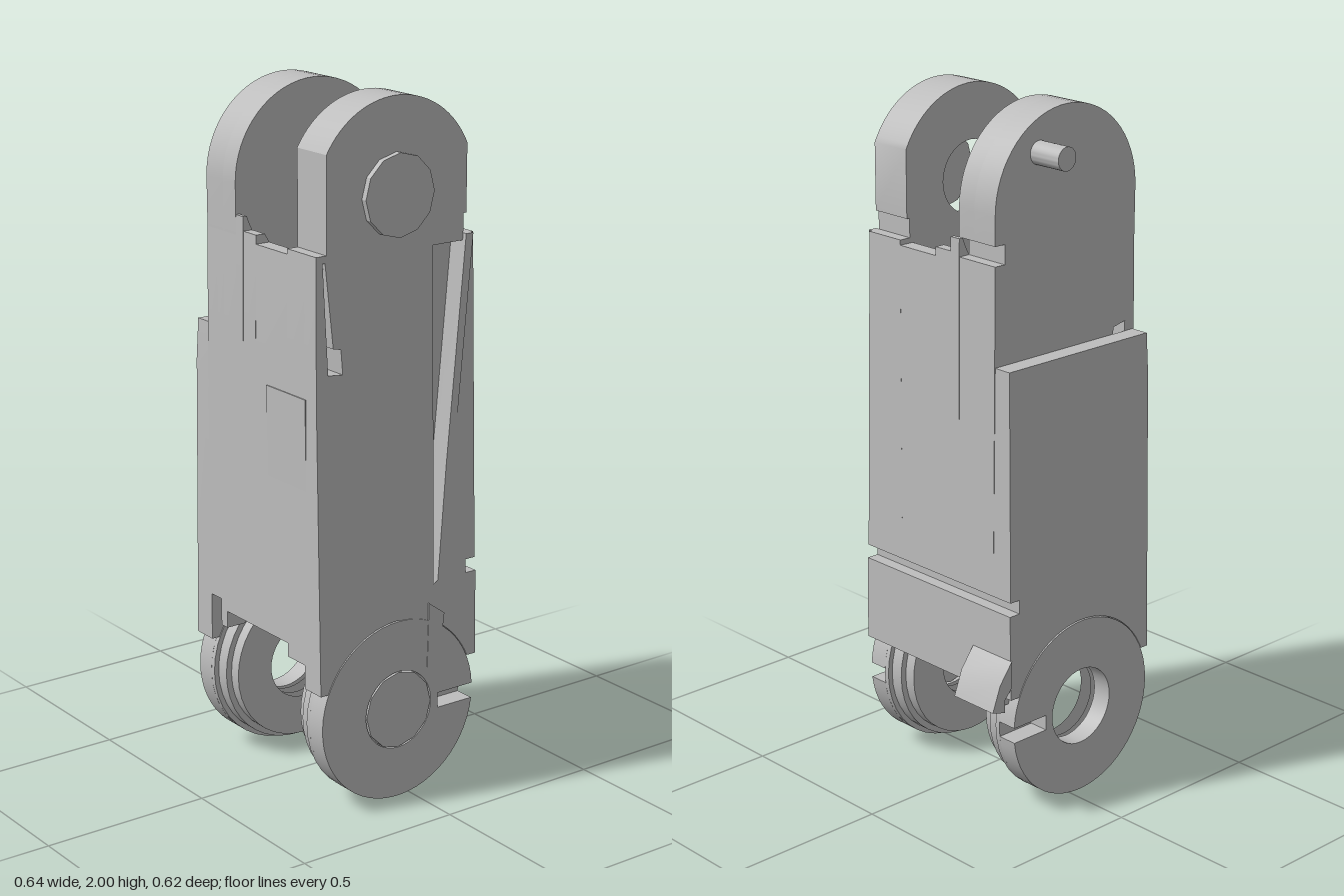
import * as THREE from 'three';
import { toCreasedNormals } from 'three/addons/utils/BufferGeometryUtils.js';

const AXIS_Z = 0.04, TOP_Y = 1.735, LOW_Y = 0.265;

// Points [z, y] along an arc about one of the two hinge axes
function arc(cy, r, a0, a1, n = 32) {
  const pts = [];
  for (let i = 0; i <= n; i++) {
    const a = a0 + (a1 - a0) * i / n;
    pts.push([AXIS_Z + r * Math.cos(a), cy + r * Math.sin(a)]);
  }
  return pts;
}
const circle = (cy, r) => arc(cy, r, 0, Math.PI * 2, 40).slice(0, -1);
const toVectors = pts => pts.map(([z, y]) => new THREE.Vector2(-z, y));

// Extrudes a side profile of [z, y] points from x0 to x1
function slab(profile, x0, x1, holes = []) {
  const shape = new THREE.Shape(toVectors(profile));
  for (const h of holes) shape.holes.push(new THREE.Path(toVectors(h)));
  const g = new THREE.ExtrudeGeometry(shape, { depth: x1 - x0, bevelEnabled: false });
  g.rotateY(Math.PI / 2);
  g.translate(x0, 0, 0);
  return g;
}

// Body side profile, with a concave seat at the bottom and optionally at the top
function bodyProfile(top, bottom, seat, backCut = []) {
  const pts = [[0.31, bottom], [0.31, 1.2], [0.304, top]];
  if (seat) {
    const a = Math.asin((top - TOP_Y) / 0.266);
    pts.push(...arc(TOP_Y, 0.266, a, -Math.PI - a));
  }
  pts.push(...backCut, [-0.225, top], [-0.233, 0.66], [-0.2, 0.66], [-0.2, 0.62], [-0.236, 0.62], [-0.236, 0.37]);
  const a0 = Math.asin((0.37 - LOW_Y) / 0.267), a1 = Math.asin((bottom - LOW_Y) / 0.267);
  pts.push(...arc(LOW_Y, 0.267, Math.PI - a0, a1));
  return pts;
}

export function createModel() {
  const group = new THREE.Group();
  const metal = new THREE.MeshStandardMaterial({ color: 0xbdbdbd });
  metal.name = 'light grey';
  const add = (name, geometry, smooth = true) => {
    const mesh = new THREE.Mesh(smooth ? toCreasedNormals(geometry, 0.5) : geometry, metal);
    mesh.name = name;
    group.add(mesh);
    return mesh;
  };
  const rod = (name, r, x0, x1, y, z, sides = 32) => {
    const g = new THREE.CylinderGeometry(r, r, x1 - x0, sides);
    g.rotateZ(Math.PI / 2);
    g.translate((x0 + x1) / 2, y, z);
    return add(name, g);
  };

  // Small slot passing through the whole link
  const slot = [[0.27, 1.275], [0.222, 1.27], [0.227, 1.34], [0.272, 1.35]];

  // Inner body, in slices with stepped top and bottom edges: x0, x1, top, bottom, seat
  const slices = [
    [-0.22, -0.17, 1.6, 0.51, false],
    [-0.17, -0.14, 1.6, 0.43, false],
    [-0.14, -0.08, 1.6, 0.48, false],
    [-0.08, -0.045, 1.65, 0.48, true],
    [-0.045, 0.015, 1.61, 0.48, true],
    [0.015, 0.16, 1.585, 0.48, true],
    [0.16, 0.24, 1.6, 0.44, false],
  ];
  for (const [x0, x1, top, bottom, seat] of slices) {
    add('bodySlice', slab(bodyProfile(top, bottom, seat), x0, x1, [slot]));
  }

  // Outer side plates, leaning inwards towards the top
  const recess = [[-0.085, 1.6], [-0.085, 0.5], [-0.1, 0.62], [-0.19, 1.6]];
  const wedgeSlot = [[0.27, 1.275], [0.222, 1.27], [0.227, 1.34], [0.252, 1.345], [0.275, 1.58], [0.283, 1.58]];
  const plates = [
    ['leftSidePlate', 0.24, 0.315, 1.6, recess, wedgeSlot, y => 0.315 - 0.0207 * (y - 0.37)],
    ['rightSidePlate', -0.295, -0.22, 1.32, [], null, y => -0.295 + 0.021 * (y - 0.37)],
  ];
  for (const [name, x0, x1, top, cut, hole, outerX] of plates) {
    const profile = bodyProfile(top, 0.37, false, cut);
    const g = slab(profile, x0, x1, hole ? [hole] : []);
    const p = g.attributes.position;
    const outer = x0 > 0 ? x1 : x0;
    for (let i = 0; i < p.count; i++) {
      if (Math.abs(p.getX(i) - outer) < 1e-4) p.setX(i, outerX(p.getY(i)));
    }
    add(name, g);
  }

  // Diagonal rib edge beside the recess
  add('diagonalRib', slab([[-0.19, 1.6], [-0.215, 1.6], [-0.125, 0.62], [-0.1, 0.62]], 0.25, 0.303));
  add('lowerRibEnd', slab([[-0.065, 0.56], [-0.12, 0.52], [-0.1, 0.36], [-0.06, 0.36]], 0.25, 0.3165));

  // Upper fork cheeks
  const foot = [[-0.19, 1.655], [-0.19, 1.58]];
  const roundCheek = [[0.304, 1.58], ...arc(TOP_Y, 0.265, 0, Math.PI), [-0.225, 1.655], ...foot];
  add('rightCheekOuter', slab(roundCheek, -0.22, -0.14));
  add('rightCheekInner', slab(roundCheek, -0.14, -0.08, [circle(TOP_Y, 0.06)]));
  const clippedCheek = [[0.27, 1.58], ...arc(TOP_Y, 0.265, 0.52, Math.PI - 0.438), [-0.2, 1.655], ...foot];
  add('leftCheek', slab(clippedCheek, 0.16, 0.29, [circle(TOP_Y, 0.105)]));
  rod('upperHingeCap', 0.115, 0.28, 0.308, TOP_Y, AXIS_Z, 12);
  rod('sidePin', 0.033, -0.325, -0.21, 1.883, -0.065);

  // Lower hinge discs in three steps, each outer disc notched at the back
  const notched = [[-0.1, 0.28], [-0.22, 0.28], ...arc(LOW_Y, 0.265, Math.PI - 0.06, -Math.PI + 0.115, 56),
    [-0.1, 0.235]];
  const bore = circle(LOW_Y, 0.115);
  for (const side of [1, -1]) {
    const name = side > 0 ? 'left' : 'right';
    const ring = (label, profile, a, b) => {
      const xs = [0.01 + side * a, 0.01 + side * b];
      add(name + label, slab(profile, Math.min(...xs), Math.max(...xs), [bore]));
    };
    ring('HingeDisc', notched, 0.245, 0.305);
    ring('HingeDiscBack', circle(LOW_Y, 0.265), 0.23, 0.245);
    ring('HingeStep', circle(LOW_Y, 0.25), 0.19, 0.23);
    ring('HingeBoss', circle(LOW_Y, 0.232), 0.155, 0.19);
  }
  rod('lowerHingeCap', 0.113, 0.26, 0.316, LOW_Y, AXIS_Z, 12);

  // Front flap, slightly raised at its upper edge
  const flap = add('frontFlap', new THREE.BoxGeometry(0.18, 0.35, 0.006), false);
  flap.position.set(0.16, 1.03, 0.308);
  flap.rotation.x = 0.012;

  // Rear latch hook with its stem
  add('latchHook', slab([[-0.235, 0.49], [-0.28, 0.43], [-0.308, 0.355], [-0.262, 0.342],
    [-0.262, 0.38], [-0.235, 0.41]], -0.297, -0.14));
  add('latchStem', slab([[-0.2, 0.44], [-0.2, 0.34], [-0.285, 0.345], [-0.285, 0.4], [-0.24, 0.46]], -0.26, -0.235));

  return group;
}
